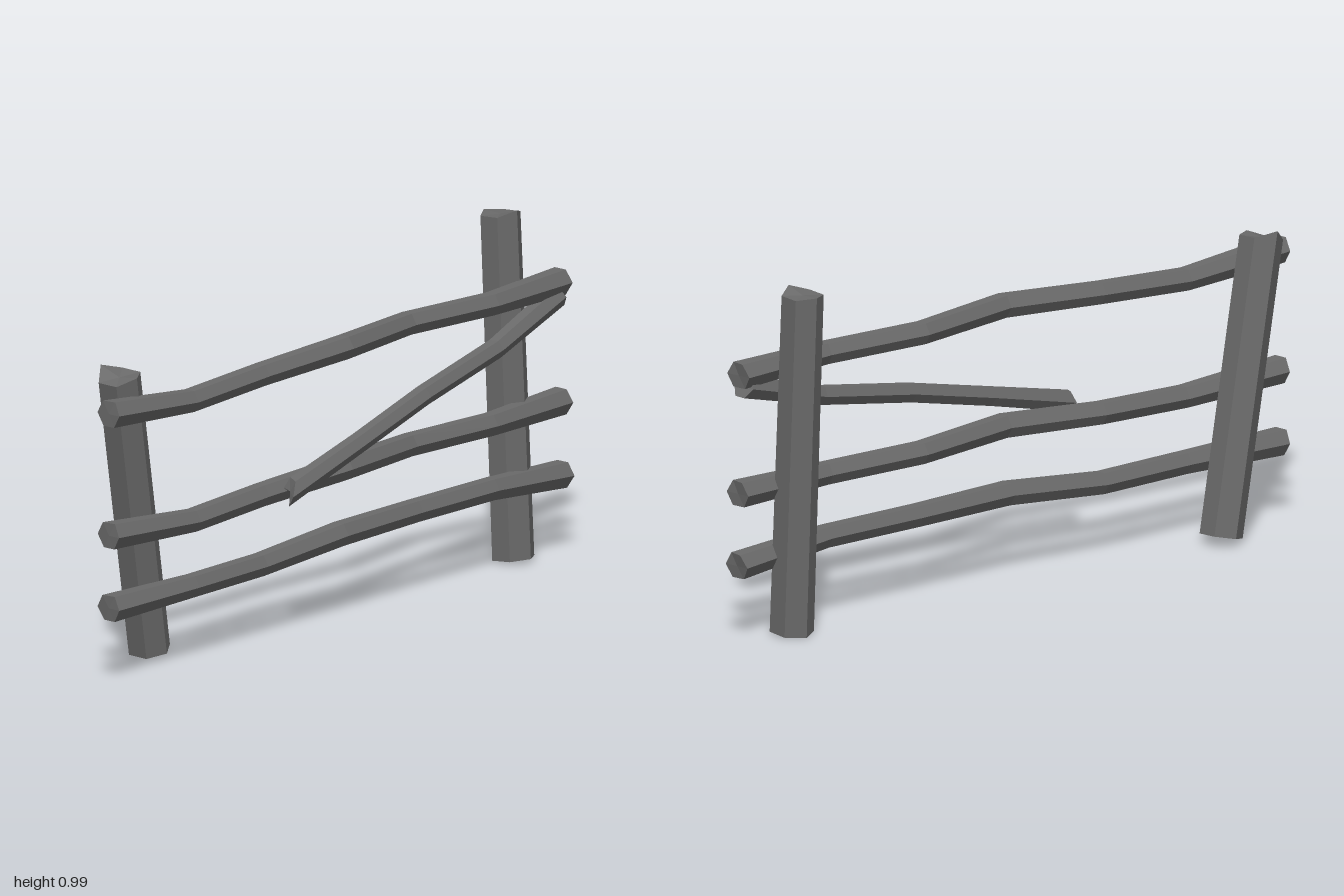
import * as THREE from 'three';

const SIDES = 6;

// Six-sided timber swept along points [x, y, z, radius]; the ends are rough:
// startCut / endCut shift each end corner along the beam.
function beam(name, points, material, startCut = [], endCut = []) {
  const centres = points.map(p => new THREE.Vector3(p[0], p[1], p[2]));
  const last = centres.length - 1;
  const pos = [];
  const index = [];
  centres.forEach((c, k) => {
    const d = centres[Math.min(k + 1, last)].clone().sub(centres[Math.max(k - 1, 0)]).normalize();
    const u = new THREE.Vector3(0, 0, 1).addScaledVector(d, -d.z).normalize();
    const v = d.clone().cross(u);
    const cut = k === 0 ? startCut : k === last ? endCut : [];
    for (let i = 0; i < SIDES; i++) {
      const a = (i / SIDES) * Math.PI * 2;
      const p = c.clone()
        .addScaledVector(u, Math.cos(a) * points[k][3])
        .addScaledVector(v, Math.sin(a) * points[k][3])
        .addScaledVector(d, cut[i] || 0);
      pos.push(p.x, p.y, p.z);
    }
  });
  // sides
  for (let k = 0; k < last; k++) {
    for (let i = 0; i < SIDES; i++) {
      const j = (i + 1) % SIDES;
      const a = k * SIDES + i, b = k * SIDES + j;
      index.push(a, b, b + SIDES, a, b + SIDES, a + SIDES);
    }
  }
  // end caps
  const s = pos.length / 3, e = s + 1;
  pos.push(...centres[0].toArray(), ...centres[last].toArray());
  for (let i = 0; i < SIDES; i++) {
    const j = (i + 1) % SIDES;
    index.push(s, j, i, e, last * SIDES + i, last * SIDES + j);
  }
  const geo = new THREE.BufferGeometry();
  geo.setAttribute('position', new THREE.Float32BufferAttribute(pos, 3));
  geo.setIndex(index);
  const flat = geo.toNonIndexed();
  flat.computeVertexNormals();
  const mesh = new THREE.Mesh(flat, material);
  mesh.name = name;
  return mesh;
}

export function createModel() {
  const group = new THREE.Group();
  group.name = 'fence';
  const wood = new THREE.MeshStandardMaterial({ color: 0x6a6a6a, flatShading: true });
  wood.name = 'weathered grey wood';

  // posts: one nearly upright, one leaning outwards
  group.add(beam('uprightPost',
    [[0.82, 0, -0.012, 0.062], [0.82, 0.965, -0.057, 0.059]], wood,
    [0.003, 0.001, -0.001, -0.003, -0.001, 0.001], [0.015, 0, 0, 0.006, 0, 0]));
  group.add(beam('leaningPost',
    [[-0.682, 0.014, -0.09, 0.061], [-0.865, 0.822, -0.049, 0.062]], wood,
    [], [0.01, 0, 0, 0.026, 0, 0]));

  // three crooked rails: heights and depths at evenly spaced stations
  const stations = [-0.995, -0.65, -0.34, -0.01, 0.33, 0.66, 0.99];
  const radii = [0.041, 0.034, 0.034, 0.036, 0.034, 0.034, 0.041];
  const rails = [
    ['topRail', [0.753, 0.727, 0.744, 0.762, 0.757, 0.754, 0.753],
      [0.018, 0.025, 0.03, 0.055, 0.005, 0.035, 0.015]],
    ['middleRail', [0.41, 0.391, 0.403, 0.421, 0.415, 0.413, 0.416],
      [0.018, 0.034, 0.026, 0.052, 0.01, 0.03, 0.018]],
    ['bottomRail', [0.205, 0.205, 0.205, 0.232, 0.232, 0.232, 0.21],
      [0.018, 0.028, 0.022, 0.038, 0.03, 0.034, 0.022]],
  ];
  for (const [name, ys, zs] of rails) {
    group.add(beam(name, stations.map((x, i) => [x, ys[i], zs[i], radii[i]]), wood,
      [-0.005, 0, 0.004, 0, -0.004, 0], [0.004, 0, -0.004, 0, 0.006, 0]));
  }

  // fallen rail, splintered at its lower end
  group.add(beam('fallenRail',
    [[-0.32, 0.422, 0.115, 0.032], [0, 0.497, 0.1, 0.029], [0.31, 0.568, 0.078, 0.029],
      [0.66, 0.63, 0.052, 0.029], [0.965, 0.715, 0.02, 0.034]], wood,
    [-0.03, -0.035, 0.03, 0.015, 0.03, 0.01], [0.004, 0.01, 0.01, 0, -0.004, 0]));

  return group;
}
